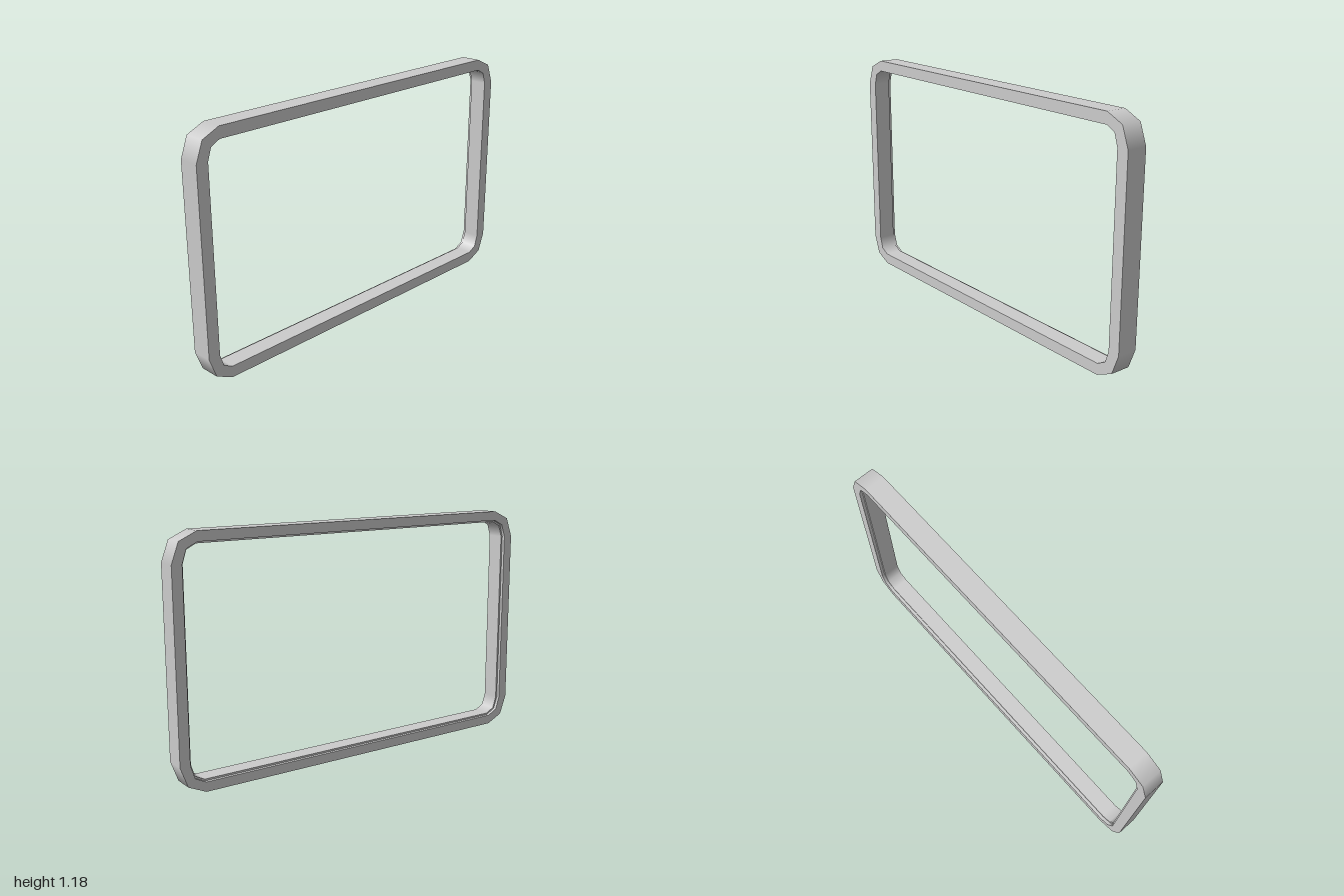
import * as THREE from 'three';

const HALF_W = 1, HEIGHT = 1.184, HALF_D = 0.052;
const WALL_X = 0.06, WALL_Y = 0.056;      // thickness of the sides and of the rails
const CX = 0.875, CY = 0.453;             // corner centres, from the middle of the frame
const SEGMENTS = 2;                       // facets per corner

// Rounded outline; t = 0 is the outer edge, t = 1 the opening
function outline(t) {
  const rx = HALF_W - CX - WALL_X * t, ry = HEIGHT / 2 - CY - WALL_Y * t;
  const points = [];
  for (let q = 0; q < 4; q++) {
    const sx = q === 0 || q === 3 ? 1 : -1, sy = q < 2 ? 1 : -1;
    for (let i = 0; i <= SEGMENTS; i++) {
      const a = (q + i / SEGMENTS) * Math.PI / 2;
      const c = Math.cos(a), s = Math.sin(a);
      points.push({ x: sx * CX + rx * c, y: HEIGHT / 2 + sy * CY + ry * s, c, s });
    }
  }
  return points;
}

// Cross-section [t, z], from the outer front edge round to the opening,
// with a shallow rebate on the back inner edge
const section = [
  [0, HALF_D], [0, -HALF_D], [0.84, -HALF_D],
  [0.84, -HALF_D + 0.016], [1, -HALF_D + 0.016], [1, HALF_D],
];

function frameGeometry() {
  const position = [], normal = [], index = [];
  section.forEach(([t0, z0], k) => {
    const [t1, z1] = section[(k + 1) % section.length];
    const a = outline(t0), b = outline(t1), n = a.length, base = position.length / 3;
    // Walls are smooth round the corners, faces point along z
    const radial = t0 === t1 ? Math.sign(z0 - z1) : 0;
    const nz = radial ? 0 : Math.sign(t0 - t1);
    for (let i = 0; i < n; i++) {
      const j = (i + 1) % n;
      position.push(a[i].x, a[i].y, z0, b[i].x, b[i].y, z1);
      for (let m = 0; m < 2; m++) normal.push(a[i].c * radial, a[i].s * radial, nz);
      const p = base + 2 * i, q = base + 2 * j;
      index.push(p, p + 1, q, q, p + 1, q + 1);
    }
  });
  const geometry = new THREE.BufferGeometry();
  geometry.setAttribute('position', new THREE.Float32BufferAttribute(position, 3));
  geometry.setAttribute('normal', new THREE.Float32BufferAttribute(normal, 3));
  geometry.setIndex(index);
  return geometry;
}

export function createModel() {
  const group = new THREE.Group();
  group.name = 'rectangularFrame';
  const frame = new THREE.Mesh(frameGeometry(), new THREE.MeshStandardMaterial({ color: 0xcccccc }));
  frame.name = 'frame';
  group.add(frame);
  return group;
}
